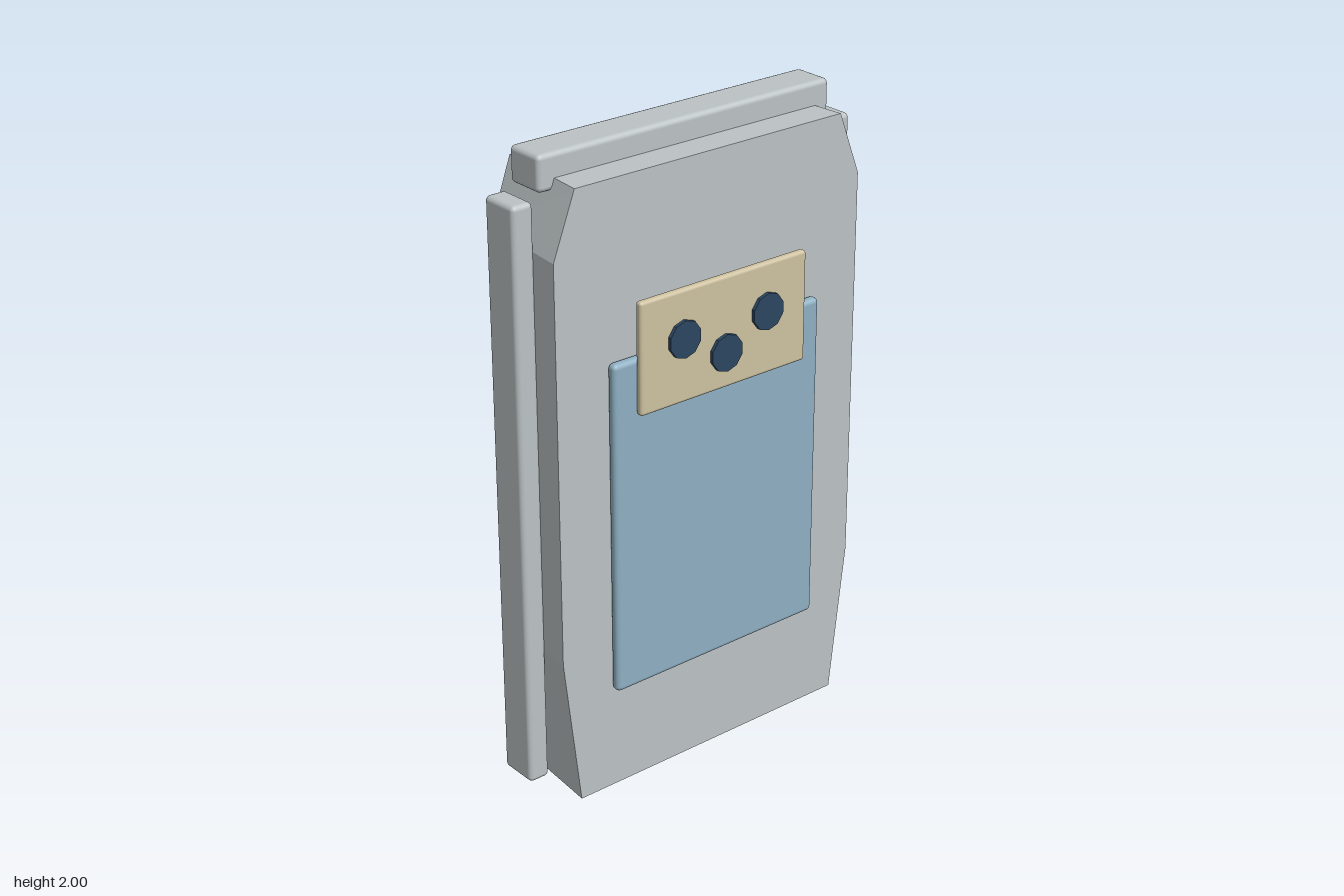
import * as THREE from 'three';
import { RoundedBoxGeometry } from 'three/addons/geometries/RoundedBoxGeometry.js';

export function createModel() {
  const model = new THREE.Group();
  const mat = (name, color, flatShading = false) =>
    Object.assign(new THREE.MeshStandardMaterial({ color, flatShading }), { name });
  const shell = mat('pale grey shell', 0xbcc3c5);
  const blue = mat('soft blue panel', 0x8fb0c3);
  const tan = mat('sand plate', 0xcdc1a0);
  const navy = mat('dark navy', 0x2b4661, true);

  const add = (name, geometry, material, x = 0, y = 0, z = 0) => {
    const mesh = new THREE.Mesh(geometry, material);
    mesh.name = name;
    mesh.position.set(x, y, z);
    model.add(mesh);
    return mesh;
  };
  // Soft-edged box given by its limits
  const slab = (name, material, [x0, x1], [y0, y1], [z0, z1], r) =>
    add(name, new RoundedBoxGeometry(x1 - x0, y1 - y0, z1 - z0, 2, r), material,
      (x0 + x1) / 2, (y0 + y1) / 2, (z0 + z1) / 2);

  // Body: clipped outline, narrowing toward the back
  const half = [[0.485, 0.06], [0.54, 0.53], [0.54, 1.74], [0.467, 1.93]];
  const outline = [...half, ...half.map(([x, y]) => [-x, y]).reverse()];
  const body = new THREE.ExtrudeGeometry(
    new THREE.Shape(outline.map(([x, y]) => new THREE.Vector2(x, y))),
    { depth: 0.318, bevelEnabled: false });
  body.translate(0, 0, -0.193);
  const p = body.attributes.position;
  for (let i = 0; i < p.count; i++) if (p.getZ(i) < 0) p.setX(i, p.getX(i) * 0.942);
  body.computeVertexNormals();
  add('body', body, shell);

  // Rails along the top and both sides
  const railZ = [-0.098, 0.028];
  slab('topRail', shell, [-0.51, 0.51], [1.895, 2], railZ, 0.015);
  slab('leftRail', shell, [0.527, 0.595], [0.108, 1.88], railZ, 0.015);
  slab('rightRail', shell, [-0.595, -0.527], [0.108, 1.88], railZ, 0.015);

  // Front panel and the plate overlapping its upper edge
  slab('frontPanel', blue, [-0.372, 0.372], [0.388, 1.412], [0.125, 0.159], 0.015);
  slab('buttonPlate', tan, [-0.298, 0.298], [1.247, 1.583], [0.157, 0.182], 0.01);

  // Three round buttons
  for (const [x, y] of [[-0.15, 1.44], [0, 1.357], [0.15, 1.44]]) {
    const button = new THREE.CylinderGeometry(0.056, 0.056, 0.012, 10).rotateX(Math.PI / 2);
    add('button', button, navy, x, y, 0.187);
  }

  // Short connector under the body
  add('connector', new THREE.CylinderGeometry(0.065, 0.065, 0.08, 10), navy, 0, 0.04, -0.035);

  return model;
}
